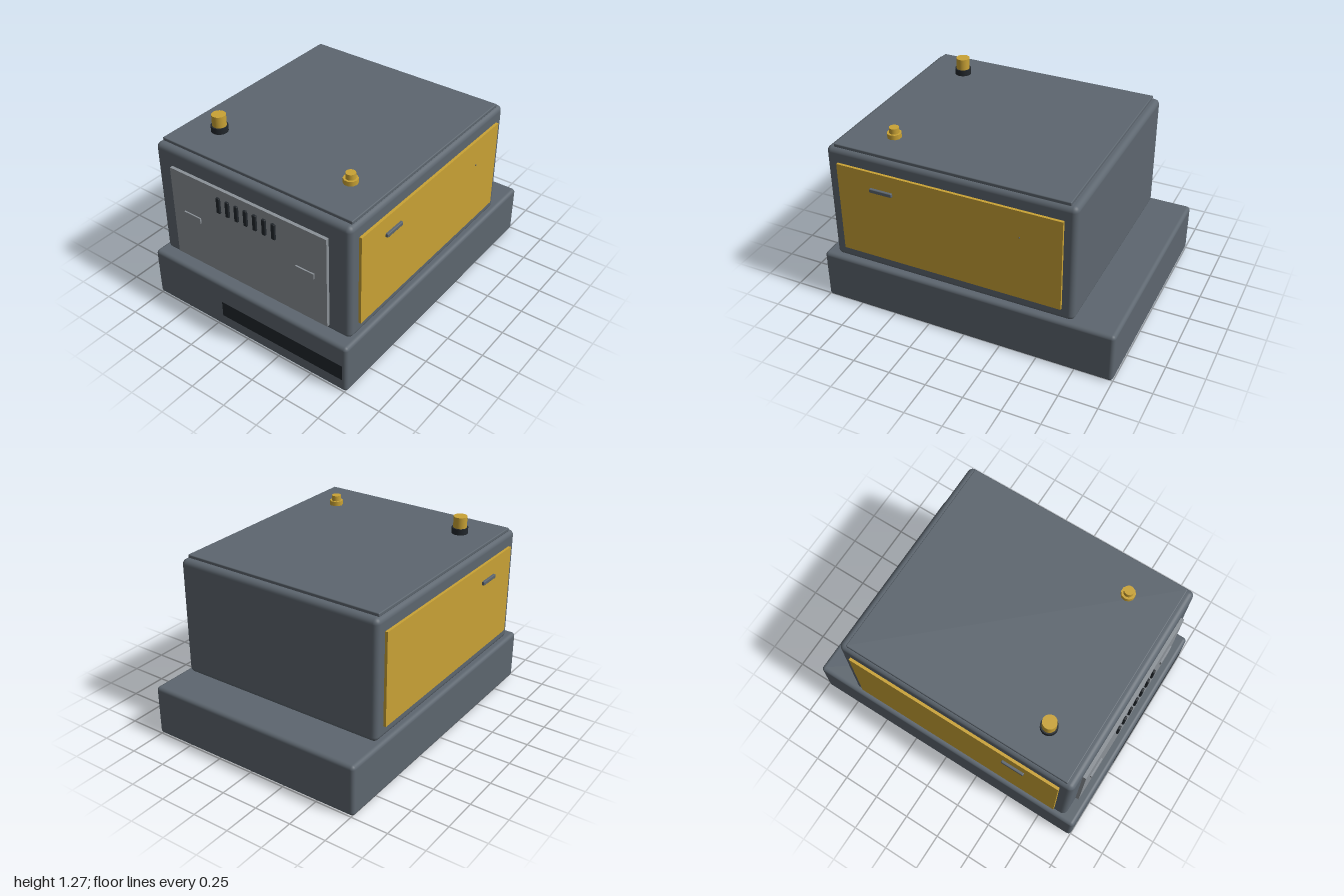
import * as THREE from 'three';
import { RoundedBoxGeometry } from 'three/addons/geometries/RoundedBoxGeometry.js';

const material = (name, color) => {
  const m = new THREE.MeshStandardMaterial({ color });
  m.name = name;
  return m;
};

export function createModel() {
  const model = new THREE.Group();
  model.name = 'machineCabinet';
  const slate = material('slate', 0x5d666f);
  const gold = material('gold', 0xc9a235);
  const dark = material('dark', 0x22272c);
  const grey = material('panelGrey', 0x8b9197);

  const add = (name, geometry, mat, x, y, z) => {
    const mesh = new THREE.Mesh(geometry, mat);
    mesh.name = name;
    mesh.position.set(x, y, z);
    model.add(mesh);
    return mesh;
  };
  // Box given by its limits on each axis, optionally with rounded edges
  const box = (name, mat, [x0, x1], [y0, y1], [z0, z1], radius = 0) => {
    const size = [x1 - x0, y1 - y0, z1 - z0];
    const geometry = radius
      ? new RoundedBoxGeometry(...size, 4, radius)
      : new THREE.BoxGeometry(...size);
    return add(name, geometry, mat, (x0 + x1) / 2, (y0 + y1) / 2, (z0 + z1) / 2);
  };
  const cylinder = (name, mat, radius, y0, y1, x, z, sides = 32) =>
    add(name, new THREE.CylinderGeometry(radius, radius, y1 - y0, sides), mat, x, (y0 + y1) / 2, z);

  // Main housing
  box('base', slate, [-1, 1], [0, 0.345], [-0.765, 0.765], 0.025);
  box('body', slate, [-0.92, 0.727], [0.34, 1.14], [-0.732, 0.732], 0.035);
  box('lid', slate, [-0.873, 0.68], [1.135, 1.16], [-0.71, 0.71], 0.006);

  // Front and back doors with handles
  for (const [side, s] of [['front', 1], ['back', -1]]) {
    const depth = (a, b) => (s > 0 ? [a, b] : [-b, -a]);
    box(side + 'Door', gold, [-0.84, 0.65], [0.425, 1.045], depth(0.73, 0.75));
    box(side + 'DoorHandle', slate, [-0.61, -0.455], [0.91, 0.936], depth(0.745, 0.766), 0.005);
  }
  const lock = add('doorLock', new THREE.CylinderGeometry(0.004, 0.004, 0.01, 12), slate, 0.385, 0.866, 0.752);
  lock.rotation.x = Math.PI / 2;

  // Service panel with latches and vent slots
  box('servicePanel', grey, [-0.942, -0.915], [0.385, 1.02], [-0.6, 0.585]);
  for (const z of [-0.44, 0.432]) {
    box('panelLatch', grey, [-0.952, -0.94], [0.702, 0.74], [z - 0.066, z + 0.066]);
  }
  for (let i = -3; i <= 3; i++) {
    box('ventSlot', dark, [-0.957, -0.94], [0.855, 0.965], [i * 0.07 - 0.014, i * 0.07 + 0.014], 0.006);
  }

  // Intake grille on the base
  box('baseGrille', dark, [-1.001, -0.998], [0.09, 0.2], [-0.2, 0.735]);

  // Rooftop fittings
  cylinder('rearFittingCollar', dark, 0.054, 1.16, 1.2, -0.61, -0.485);
  cylinder('rearFittingCap', gold, 0.045, 1.2, 1.275, -0.61, -0.485);
  cylinder('frontFittingNut', gold, 0.046, 1.16, 1.191, -0.58, 0.483, 10);
  cylinder('frontFittingCap', gold, 0.031, 1.19, 1.227, -0.58, 0.483, 20);

  return model;
}
